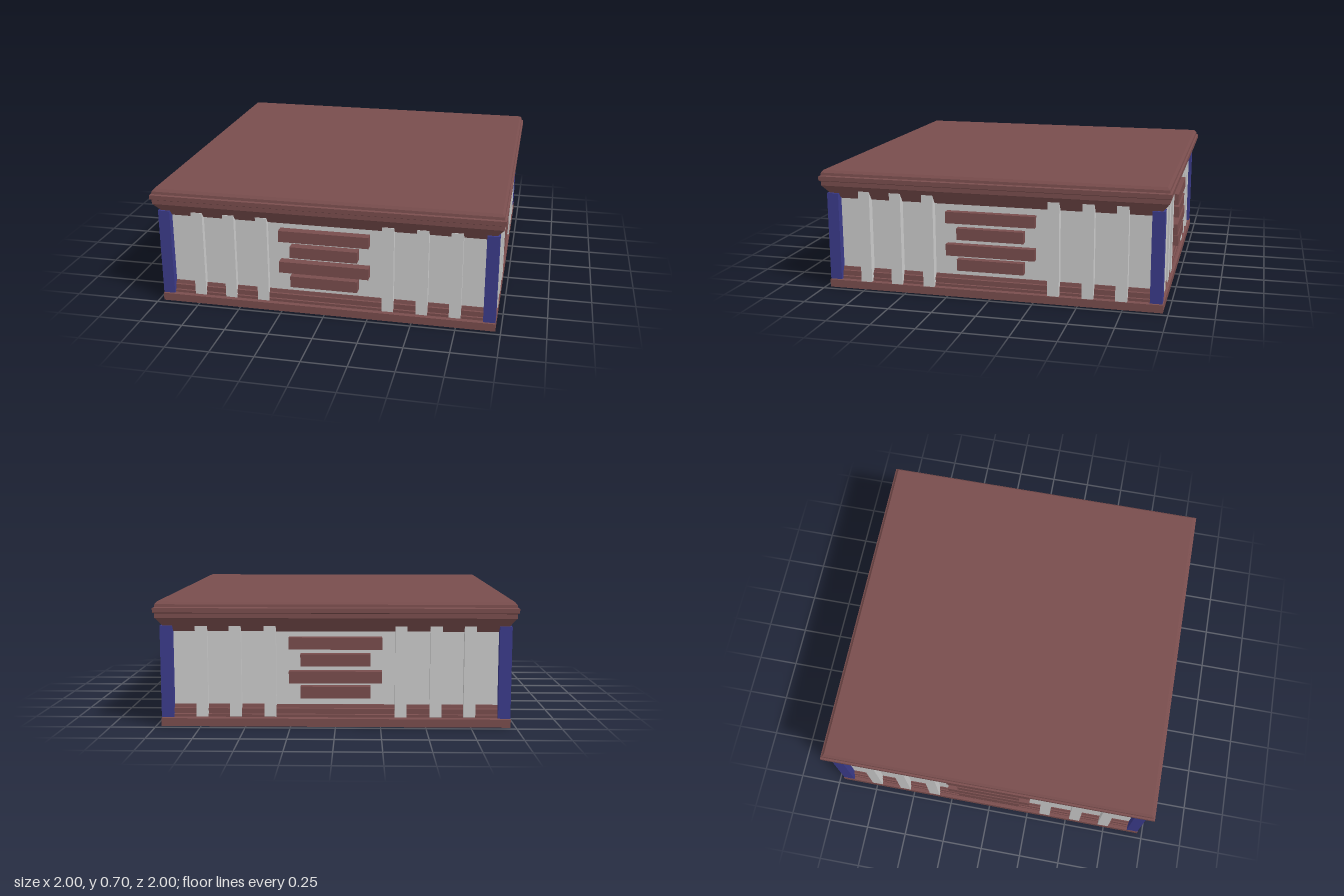
import * as THREE from 'three';

const brown = new THREE.MeshStandardMaterial({ color: 0x794d4d, flatShading: true });
const blue = new THREE.MeshStandardMaterial({ color: 0x3b3b8b, flatShading: true });
const grey = new THREE.MeshStandardMaterial({ color: 0xcccccc, flatShading: true });

// Square moulding from a [half width, height] profile running bottom to top
function moulding(name, profile, material) {
  const points = profile.map(([h, y]) => new THREE.Vector2(h * Math.SQRT2, y));
  const geometry = new THREE.LatheGeometry(points, 4, Math.PI / 4).toNonIndexed();
  geometry.computeVertexNormals();
  const mesh = new THREE.Mesh(geometry, material);
  mesh.name = name;
  return mesh;
}

// Box given by its limits on each axis
function block(name, [x0, x1], [y0, y1], [z0, z1], material) {
  const mesh = new THREE.Mesh(new THREE.BoxGeometry(x1 - x0, y1 - y0, z1 - z0), material);
  mesh.position.set((x0 + x1) / 2, (y0 + y1) / 2, (z0 + z1) / 2);
  mesh.name = name;
  return mesh;
}

// Pilasters and stacked bars of one wall, facing +z
function wallTrim(name, pilasterY, pilasterDepth, barDepth, barShift) {
  const wall = new THREE.Group();
  wall.name = name;
  for (const side of [-1, 1]) {
    for (const x of [0.362, 0.555, 0.742]) {
      const cx = side * x;
      wall.add(block('pilaster', [cx - 0.033, cx + 0.033], pilasterY, [0.9, pilasterDepth], grey));
    }
  }
  [0.468, 0.375, 0.28, 0.195].forEach((y, i) => {
    const half = i % 2 ? 0.193 : 0.257;
    const cy = y - barShift;
    wall.add(block('horizontalBar', [-half, half], [cy - 0.033, cy + 0.033], [0.9, barDepth], brown));
  });
  return wall;
}

export function createModel() {
  const model = new THREE.Group();
  model.name = 'squarePedestal';

  // Stepped base
  model.add(moulding('base', [
    [0, 0], [0.97, 0], [0.97, 0.045], [0.96, 0.05], [0.95, 0.05], [0.95, 0.065],
    [0.943, 0.068], [0.943, 0.097], [0.935, 0.1], [0.93, 0.12], [0, 0.12],
  ], brown));

  // Plain wall core
  model.add(block('wallCore', [-0.925, 0.925], [0.1, 0.55], [-0.925, 0.925], grey));

  // Flared cornice with a flat top
  model.add(moulding('cornice', [
    [0, 0.53], [0.93, 0.53], [0.985, 0.605], [0.99, 0.61], [0.99, 0.635], [1, 0.64],
    [1, 0.665], [0.99, 0.67], [0.988, 0.685], [0.975, 0.7], [0, 0.7],
  ], brown));

  // Corner posts
  for (const sx of [-1, 1]) {
    for (const sz of [-1, 1]) {
      const post = block('cornerPost', [-0.034, 0.034], [0.05, 0.563], [-0.034, 0.034], blue);
      post.position.x = sx * 0.934;
      post.position.z = sz * 0.932;
      model.add(post);
    }
  }

  // Trim on all four walls
  ['frontTrim', 'leftTrim', 'backTrim', 'rightTrim'].forEach((name, i) => {
    const trim = i % 2
      ? wallTrim(name, [0.043, 0.582], 0.968, 0.966, 0.008)
      : wallTrim(name, [0.053, 0.562], 0.957, 0.977, 0);
    trim.rotation.y = i * Math.PI / 2;
    model.add(trim);
  });

  return model;
}
